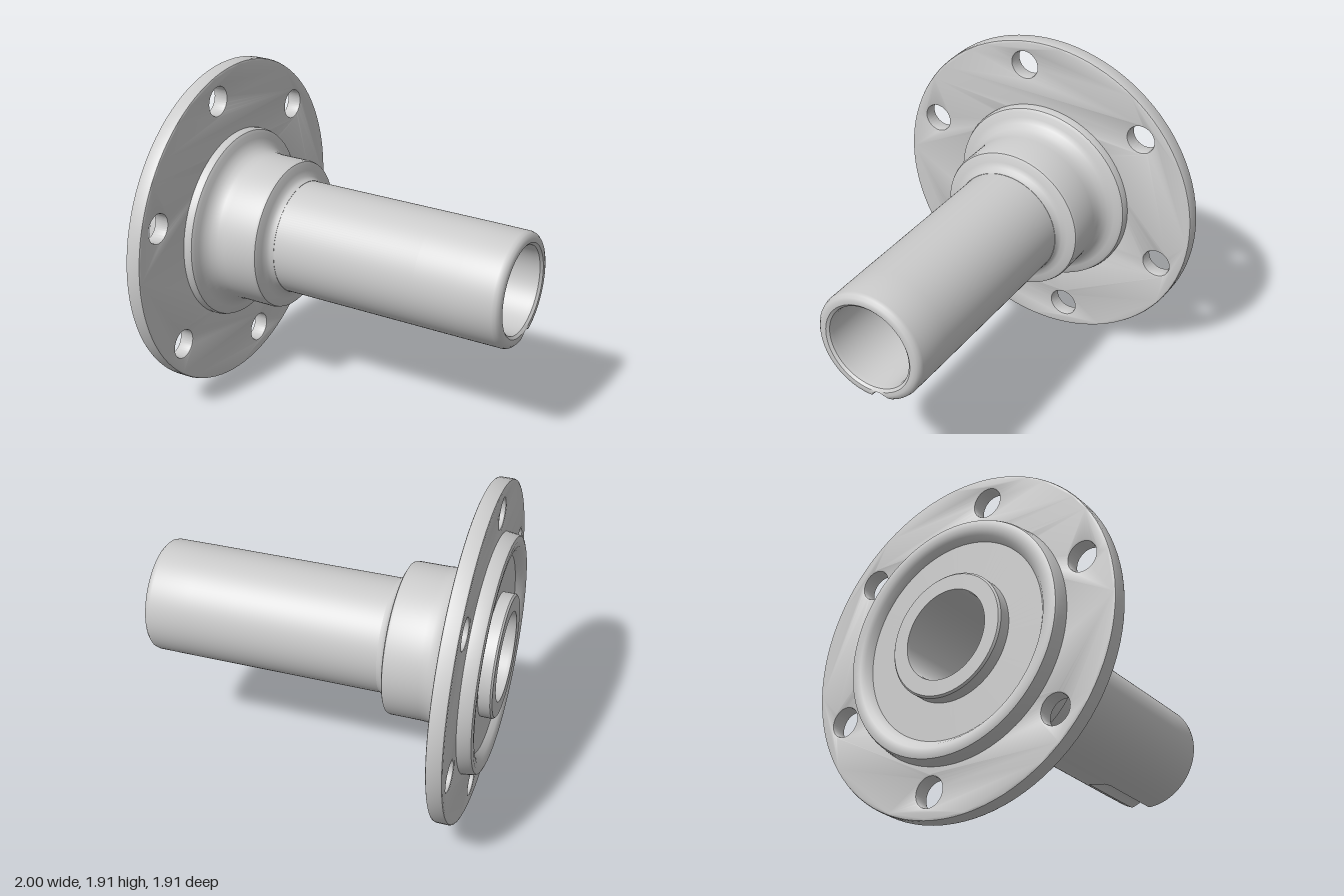
import * as THREE from 'three';
import { toCreasedNormals } from 'three/addons/utils/BufferGeometryUtils.js';

const AXIS_Y = 0.954;
const material = new THREE.MeshStandardMaterial({ color: 0xcccccc });

function addMesh(group, name, geometry) {
  const mesh = new THREE.Mesh(toCreasedNormals(geometry, 0.6), material);
  mesh.name = name;
  mesh.position.y = AXIS_Y;
  group.add(mesh);
}

// Turns a closed [x, radius] profile around the x axis
function turned(profile, segments = 96) {
  const points = profile.map(([x, r]) => new THREE.Vector2(r, x));
  return new THREE.LatheGeometry(points, segments).rotateZ(-Math.PI / 2);
}

// Bolt flange with six through holes
function flangeGeometry() {
  const bevel = 0.012;
  const shape = new THREE.Shape().absarc(0, 0, 0.953, 0, Math.PI * 2);
  const addHole = (x, y, r) =>
    shape.holes.push(new THREE.Path().absarc(x, y, r, 0, Math.PI * 2, true));
  addHole(0, 0, 0.45);
  for (let i = 0; i < 6; i++) {
    const a = THREE.MathUtils.degToRad(41.5 + 60 * i);
    addHole(Math.cos(a) * 0.802, Math.sin(a) * 0.802, 0.082);
  }
  const geometry = new THREE.ExtrudeGeometry(shape, {
    depth: 0.09 - 2 * bevel, curveSegments: 48,
    bevelThickness: bevel, bevelSize: bevel, bevelOffset: -bevel, bevelSegments: 2,
  });
  return geometry.rotateY(Math.PI / 2).translate(-0.89 + bevel, 0, 0);
}

// Short oil groove cut into the underside of the sleeve's free end
function cutGroove(geometry) {
  const p = geometry.attributes.position;
  const centre = Math.atan2(-0.06, -0.29);
  for (let i = 0; i < p.count; i++) {
    const x = p.getX(i), y = p.getY(i), z = p.getZ(i);
    const r = Math.hypot(y, z);
    let d = Math.atan2(z, y) - centre;
    d = Math.abs(Math.atan2(Math.sin(d), Math.cos(d)));
    const half = 0.17;
    if (x < 0.53 || d > half) continue;
    const floor = 0.325 - 0.058 * Math.sqrt(1 - (d / half) ** 2);
    if (r > floor) {
      p.setY(i, y * floor / r);
      p.setZ(i, z * floor / r);
    }
  }
  return geometry;
}

export function createModel() {
  const group = new THREE.Group();
  group.name = 'flangedSleeve';

  addMesh(group, 'flange', flangeGeometry());

  // Pilot boss behind the flange, with a recessed back face
  addMesh(group, 'pilotBoss', turned([
    [-0.925, 0.3], [-0.925, 0.55], [-0.955, 0.575], [-0.968, 0.6], [-0.972, 0.635],
    [-0.965, 0.655], [-0.95, 0.662], [-0.885, 0.672], [-0.85, 0.672],
    [-0.85, 0.3], [-0.925, 0.3],
  ]));

  // Flared collar and shoulder in front of the flange
  addMesh(group, 'collar', turned([
    [-0.85, 0.3], [-0.85, 0.555], [-0.775, 0.555], [-0.755, 0.548], [-0.743, 0.53],
    [-0.737, 0.5], [-0.72, 0.47], [-0.695, 0.447], [-0.66, 0.434], [-0.62, 0.43],
    [-0.435, 0.43], [-0.42, 0.424], [-0.413, 0.41], [-0.405, 0.375],
    [-0.395, 0.345], [-0.38, 0.331], [-0.36, 0.325], [-0.36, 0.3], [-0.85, 0.3],
  ]));

  // Sleeve with a through bore; its back end forms the raised hub ring
  addMesh(group, 'sleeve', cutGroove(turned([
    [-1, 0.25], [-1, 0.335], [-0.99, 0.345], [-0.9, 0.345], [-0.88, 0.323],
    [0.5, 0.323], [0.54, 0.323], [0.75, 0.323], [0.96, 0.322], [0.98, 0.317],
    [0.994, 0.303], [1, 0.285], [0.998, 0.265], [0.985, 0.25], [0.96, 0.245],
    [-0.98, 0.245], [-1, 0.25],
  ], 144)));

  return group;
}
